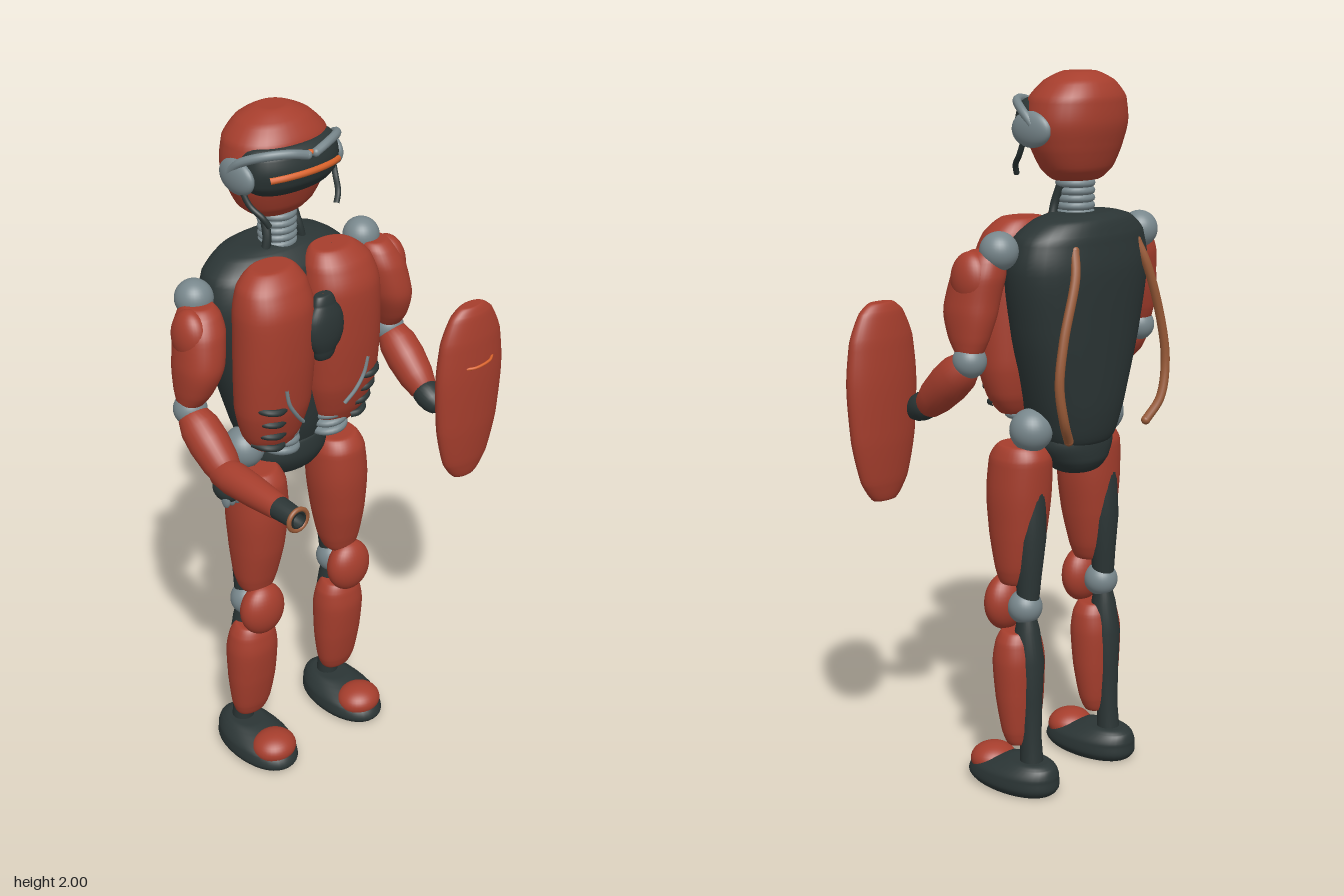
import * as THREE from 'three';

const V = (x, y, z) => new THREE.Vector3(x, y, z);
const mat = (name, color, side = THREE.FrontSide) => {
  const m = new THREE.MeshStandardMaterial({ color, side });
  m.name = name;
  return m;
};

// Rounded solid through cross-sections [y, centreX, centreZ, radiusX, radiusZ], listed upwards
function loft(sections, mirror = 1, power = 2.2) {
  const first = sections[0], last = sections[sections.length - 1];
  const s = [[...first.slice(0, 3), 0.001, 0.001], ...sections, [...last.slice(0, 3), 0.001, 0.001]];
  const centres = new THREE.CatmullRomCurve3(s.map(p => V(p[1] * mirror, p[0], p[2])));
  const radii = new THREE.CatmullRomCurve3(s.map(p => V(p[3], 0, p[4])));
  const rows = (s.length - 1) * 6, n = 36, pos = [], idx = [];
  const bend = v => Math.sign(v) * Math.pow(Math.abs(v), 2 / power);
  for (let i = 0; i <= rows; i++) {
    const c = centres.getPoint(i / rows), r = radii.getPoint(i / rows);
    const y = Math.min(last[0], Math.max(first[0], c.y));
    for (let j = 0; j < n; j++) {
      const a = (j / n) * Math.PI * 2;
      pos.push(c.x + r.x * bend(Math.cos(a)), y, c.z + r.z * bend(Math.sin(a)));
      if (i < rows) {
        const p = i * n + j, q = i * n + (j + 1) % n;
        idx.push(p, p + n, q, q, p + n, q + n);
      }
    }
  }
  const g = new THREE.BufferGeometry();
  g.setAttribute('position', new THREE.Float32BufferAttribute(pos, 3));
  g.setIndex(idx);
  g.computeVertexNormals();
  return g;
}

const ball = (x, y, z, rx, ry = rx, rz = rx) =>
  new THREE.SphereGeometry(1, 32, 20).scale(rx, ry, rz).translate(x, y, z);

const tube = (points, r) =>
  new THREE.TubeGeometry(new THREE.CatmullRomCurve3(points), 32, r, 10);

// Turned limb from a to b with a profile of [fraction, radius]
function limb(a, b, profile) {
  const d = b.clone().sub(a), len = d.length();
  const g = new THREE.LatheGeometry(profile.map(([t, r]) => new THREE.Vector2(r, t * len)), 28);
  g.applyQuaternion(new THREE.Quaternion().setFromUnitVectors(V(0, 1, 0), d.normalize()));
  return g.translate(a.x, a.y, a.z);
}
const pod = r => [0, 0.03, 0.1, 0.25, 0.45, 0.7, 0.88, 0.97, 1]
  .map((t, i) => [t, r * [0, 0.45, 0.75, 0.96, 1, 0.9, 0.7, 0.42, 0][i]]);

export function createModel() {
  const red = mat('red shell', 0xa63e2d);
  const dark = mat('dark frame', 0x2b3535);
  const steel = mat('steel joint', 0x78878c);
  const copper = mat('copper pipe', 0x9a5b38);
  const orange = mat('orange light', 0xd8622a);
  const model = new THREE.Group();
  const body = new THREE.Group();
  body.name = 'body';
  body.position.x = -0.07;
  model.add(body);
  const add = (name, geometry, material) => {
    const m = new THREE.Mesh(geometry, material);
    m.name = name;
    body.add(m);
    return m;
  };

  // Head
  add('head', loft([[1.715, 0, -0.18, 0.07, 0.05], [1.745, 0, -0.18, 0.112, 0.078],
    [1.8, 0, -0.178, 0.14, 0.1], [1.87, 0, -0.177, 0.156, 0.117], [1.93, 0, -0.18, 0.145, 0.112],
    [1.975, 0, -0.185, 0.103, 0.084], [2, 0, -0.187, 0.045, 0.04]]), red);
  add('visor', loft([[1.8, 0, -0.125, 0.11, 0.055], [1.83, 0, -0.125, 0.143, 0.082],
    [1.87, 0, -0.125, 0.15, 0.092], [1.91, 0, -0.125, 0.143, 0.083], [1.93, 0, -0.125, 0.12, 0.06]]), dark);
  add('visorLight', tube([V(-0.115, 1.858, -0.06), V(-0.07, 1.862, -0.041), V(0, 1.864, -0.031),
    V(0.07, 1.862, -0.041), V(0.115, 1.858, -0.06)], 0.009), orange);
  add('browLight', ball(0, 1.915, -0.035, 0.012, 0.007, 0.009), orange);

  // Neck
  add('neckCore', new THREE.CylinderGeometry(0.042, 0.05, 0.16, 24).translate(0, 1.66, -0.175), dark);
  for (let i = 0; i < 5; i++)
    add('neckRing', new THREE.TorusGeometry(0.043, 0.011, 10, 28).rotateX(Math.PI / 2)
      .translate(0, 1.625 + i * 0.02, -0.175), steel);

  // Torso and pelvis
  add('torso', loft([[1.0, 0, -0.18, 0.11, 0.09], [1.1, 0, -0.175, 0.155, 0.12], [1.3, 0, -0.18, 0.215, 0.13],
    [1.48, 0, -0.185, 0.245, 0.133], [1.57, 0, -0.19, 0.225, 0.118], [1.615, 0, -0.2, 0.165, 0.09],
    [1.63, 0, -0.2, 0.1, 0.06]]), dark);
  add('pelvis', loft([[0.915, 0, -0.19, 0.06, 0.05], [0.95, 0, -0.175, 0.1, 0.092],
    [1.0, 0, -0.165, 0.125, 0.105], [1.05, 0, -0.165, 0.11, 0.1]]), dark);
  add('chestPanel', loft([[1.34, 0, 0.01, 0.025, 0.016], [1.37, 0, 0.013, 0.038, 0.022],
    [1.5, 0, 0.013, 0.038, 0.022], [1.53, 0, 0.01, 0.025, 0.016]]), dark);
  for (const x of [-0.03, 0, 0.03])
    add('chestLight', ball(x, 1.435, x ? 0.027 : 0.033, 0.008, 0.026, 0.008), orange);

  for (const s of [1, -1]) {
    const P = (x, y, z) => V(x * s, y, z);

    // Headgear
    add('earPiece', ball(0.15 * s, 1.853, -0.15, 0.024, 0.048, 0.066), steel);
    add('browBar', tube([P(0.014, 1.912, -0.03), P(0.06, 1.924, -0.038), P(0.12, 1.922, -0.072),
      P(0.157, 1.9, -0.125), P(0.162, 1.865, -0.165)], 0.012), steel);
    add('browTip', ball(0.014 * s, 1.912, -0.03, 0.012), steel);
    add('jawBoom', tube([P(0.155, 1.83, -0.13), P(0.146, 1.785, -0.105), P(0.128, 1.755, -0.075),
      P(0.114, 1.73, -0.066)], 0.008), dark);
    add('neckStrut', tube([P(0.05, 1.7, -0.165), P(0.056, 1.65, -0.15), P(0.07, 1.59, -0.15)], 0.012), dark);

    // Chest plate, ribs and waist coils
    add('chestPlate', loft([[1.08, 0.115, -0.07, 0.055, 0.035], [1.13, 0.12, -0.068, 0.09, 0.062],
      [1.22, 0.12, -0.062, 0.113, 0.083], [1.36, 0.118, -0.055, 0.118, 0.09], [1.5, 0.116, -0.055, 0.116, 0.092],
      [1.575, 0.113, -0.065, 0.1, 0.075], [1.615, 0.105, -0.075, 0.062, 0.045]], s), red);
    for (let i = 0; i < 4; i++) {
      const y = 1.24 - i * 0.044, z = 0.021 - i * 0.011, x = 0.2 - i * 0.006;
      add('rib', tube([P(x - 0.06, y - 0.006, z - 0.008), P(x - 0.035, y - 0.004, z), P(x - 0.008, y, z - 0.012),
        P(x + 0.012, y + 0.005, z - 0.05)], 0.01), dark);
    }
    add('chestTrim', tube([P(0.145, 1.3, 0.028), P(0.133, 1.25, 0.026), P(0.105, 1.205, 0.022),
      P(0.075, 1.17, 0.012)], 0.0055), steel);
    for (let i = 0; i < 3; i++)
      add('waistCoil', new THREE.TorusGeometry(0.045, 0.012, 10, 28).rotateX(Math.PI / 2)
        .rotateZ(0.12 * s).translate(0.088 * s, 1.065 + i * 0.026, -0.075), steel);

    // Back pipe
    add('backPipe', tube([P(0.13, 1.545, -0.285), P(0.15, 1.48, -0.306), P(0.205, 1.32, -0.315),
      P(0.225, 1.2, -0.318), P(0.205, 1.1, -0.318), P(0.165, 1.04, -0.3)], 0.013), copper);
    add('pipeEnd', ball(0.13 * s, 1.545, -0.285, 0.013), copper);
    add('pipeEnd', ball(0.165 * s, 1.04, -0.3, 0.013), copper);

    // Leg
    add('hipJoint', ball(0.152 * s, 1.045, -0.155, 0.06), steel);
    add('thigh', loft([[0.605, 0.16, -0.108, 0.045, 0.04], [0.65, 0.158, -0.11, 0.063, 0.058],
      [0.75, 0.153, -0.108, 0.078, 0.078], [0.87, 0.149, -0.108, 0.086, 0.089],
      [0.96, 0.147, -0.112, 0.08, 0.088], [1.0, 0.147, -0.114, 0.058, 0.062]], s), red);
    add('thighFrame', limb(P(0.165, 0.52, -0.155), P(0.15, 0.96, -0.155),
      [[0, 0.028], [0.25, 0.036], [0.5, 0.046], [0.8, 0.042], [1, 0.03]]), dark);
    add('kneeJoint', ball(0.165 * s, 0.54, -0.145, 0.049), steel);
    add('kneeCap', ball(0.166 * s, 0.542, -0.074, 0.072, 0.082, 0.05), red);
    add('shin', loft([[0.14, 0.17, -0.138, 0.045, 0.03], [0.18, 0.169, -0.135, 0.062, 0.044],
      [0.28, 0.168, -0.129, 0.075, 0.058], [0.38, 0.168, -0.125, 0.078, 0.065],
      [0.44, 0.167, -0.123, 0.069, 0.057], [0.47, 0.167, -0.122, 0.048, 0.042]], s), red);
    add('shinFrame', limb(P(0.17, 0.07, -0.177), P(0.166, 0.52, -0.153),
      [[0, 0.034], [0.2, 0.03], [0.45, 0.036], [0.7, 0.045], [0.9, 0.035], [1, 0.025]]), dark);
    add('foot', loft([[0, 0.17, -0.11, 0.072, 0.13], [0.025, 0.17, -0.108, 0.09, 0.152],
      [0.055, 0.17, -0.117, 0.086, 0.142], [0.08, 0.17, -0.15, 0.065, 0.1],
      [0.092, 0.17, -0.165, 0.045, 0.06]], s, 2.1), dark);
    add('toeCap', ball(0.17 * s, 0.058, -0.03, 0.068, 0.045, 0.064), red);

    // Upper arm
    add('shoulderJoint', ball(0.292 * s, 1.55, -0.165, 0.052), steel);
    add('upperArm', loft([[1.275, 0.355, -0.118, 0.03, 0.03], [1.32, 0.348, -0.11, 0.046, 0.058],
      [1.4, 0.333, -0.104, 0.062, 0.078], [1.48, 0.318, -0.115, 0.064, 0.076],
      [1.53, 0.308, -0.125, 0.052, 0.06], [1.55, 0.305, -0.13, 0.035, 0.04]], s), red);
    add('shoulderPad', ball(0.345 * s, 1.475, -0.115, 0.046, 0.076, 0.06), red);
    add('elbowJoint', ball(0.355 * s, 1.262, -0.118, 0.046), steel);
    add('forearm', limb(P(0.358, 1.265, -0.125), P(0.352, 1.1, 0.06), pod(0.056)), red);
  }

  // Blaster on the right arm
  const bx = -0.36, by = 1.132;
  add('blasterShell', limb(V(bx, by, -0.01), V(bx, by, 0.256),
    [[0, 0], [0.02, 0.028], [0.1, 0.041], [0.3, 0.046], [0.6, 0.042], [0.95, 0.034], [1, 0.03], [1, 0]]), red);
  add('barrel', limb(V(bx, by, 0.24), V(bx, by, 0.328), [[0, 0.032], [1, 0.027], [1, 0.018], [0.5, 0.018], [0.5, 0]]), dark);
  add('muzzleRing', new THREE.TorusGeometry(0.03, 0.0065, 10, 32).translate(bx, by, 0.325), copper);
  add('rightHand', ball(bx, 1.088, 0.035, 0.034, 0.036, 0.045), dark);
  for (const x of [-0.018, 0, 0.018])
    add('rightFinger', ball(bx + x, 1.068, 0.052, 0.01, 0.026, 0.016), steel);

  // Shield on the left arm
  add('leftHand', limb(V(0.352, 1.13, 0.02), V(0.345, 1.09, 0.115), pod(0.04)), dark);
  add('shield', loft([[0.855, 0.43, 0.133, 0.04, 0.018], [0.91, 0.43, 0.133, 0.082, 0.032],
    [1.03, 0.432, 0.133, 0.112, 0.044], [1.18, 0.434, 0.133, 0.122, 0.048], [1.3, 0.434, 0.133, 0.11, 0.043],
    [1.375, 0.434, 0.133, 0.075, 0.031], [1.4, 0.434, 0.133, 0.04, 0.018]], 1, 2), red);
  add('shieldTrim', tube([V(0.385, 1.228, 0.172), V(0.405, 1.23, 0.185), V(0.435, 1.233, 0.189),
    V(0.465, 1.236, 0.185), V(0.485, 1.238, 0.172)], 0.004), orange);
  return model;
}
